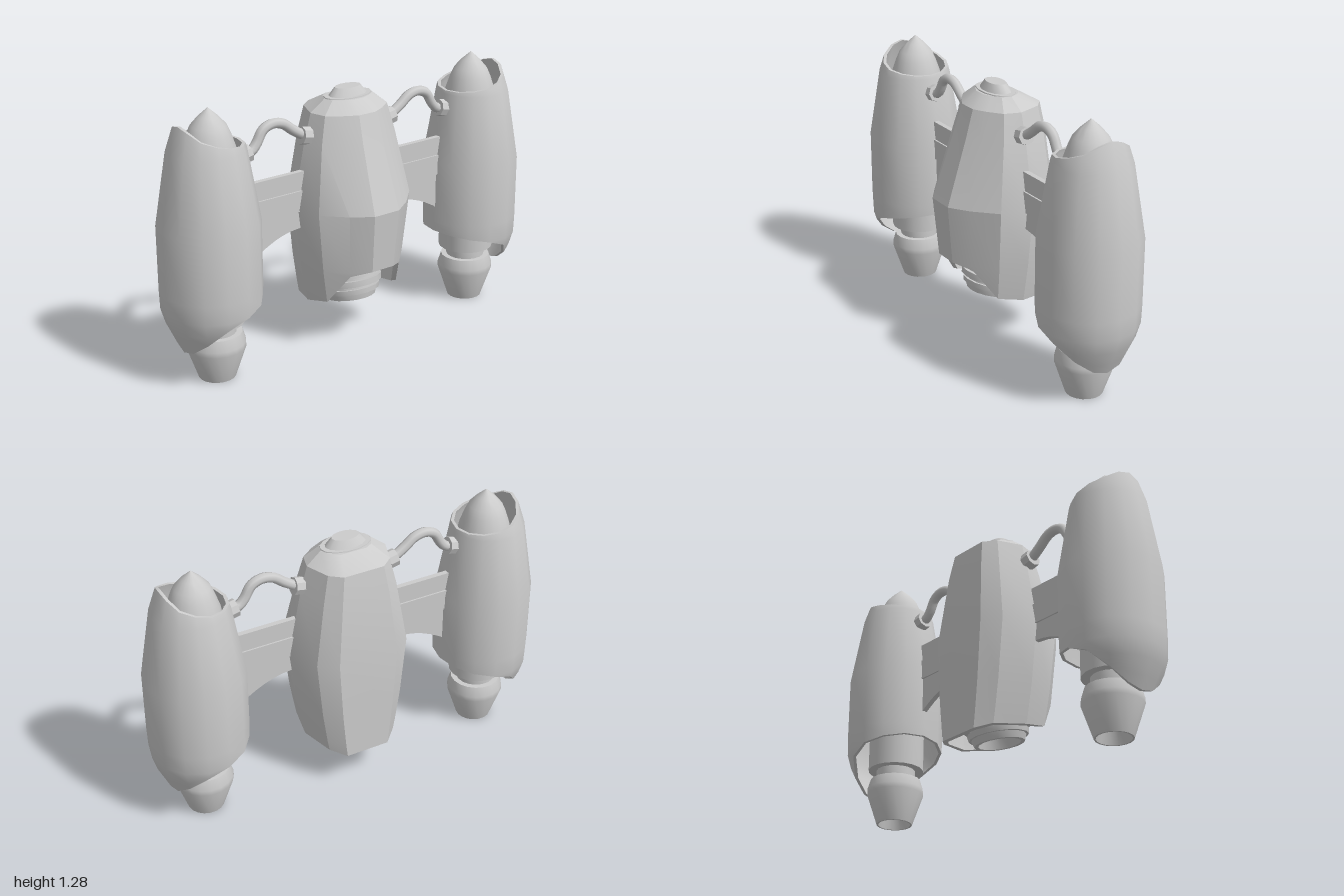
import * as THREE from 'three';
import { toCreasedNormals } from 'three/addons/utils/BufferGeometryUtils.js';

const AXIS_X = -0.035;
const material = new THREE.MeshStandardMaterial({ color: 0xcccccc, side: THREE.DoubleSide });

function add(parent, name, geometry, crease = 0.6) {
  const mesh = new THREE.Mesh(crease ? toCreasedNormals(geometry, crease) : geometry, material);
  mesh.name = name;
  parent.add(mesh);
  return mesh;
}

// Straight-line interpolation in rows [key, value, value...] sorted by key
function lookup(table, key, column = 1) {
  if (key <= table[0][0]) return table[0][column];
  for (let i = 1; i < table.length; i++) {
    const a = table[i - 1], b = table[i];
    if (key <= b[0]) return a[column] + (b[column] - a[column]) * (key - a[0]) / (b[0] - a[0]);
  }
  return table[table.length - 1][column];
}

// Skin over rings of points, skipping collapsed triangles
function loft(rows) {
  const out = [], n = rows[0].length;
  const tri = (a, b, c) => {
    const area = b.clone().sub(a).cross(c.clone().sub(a)).length();
    if (area > 1e-7) out.push(...a.toArray(), ...b.toArray(), ...c.toArray());
  };
  for (let i = 0; i < rows.length - 1; i++) {
    for (let j = 0; j < n; j++) {
      const k = (j + 1) % n;
      tri(rows[i][j], rows[i][k], rows[i + 1][j]);
      tri(rows[i][k], rows[i + 1][k], rows[i + 1][j]);
    }
  }
  const geometry = new THREE.BufferGeometry();
  geometry.setAttribute('position', new THREE.Float32BufferAttribute(out, 3));
  geometry.computeVertexNormals();
  return geometry;
}

const lathe = (profile, sides) =>
  new THREE.LatheGeometry(profile.map(([r, y]) => new THREE.Vector2(r, y)), sides);

// Fairing around a side engine: cut slanted above and below
function podShell() {
  const radius = [[0.165, 0.155], [0.22, 0.18], [0.29, 0.212], [0.36, 0.232], [0.45, 0.235],
    [0.76, 0.235], [1.1, 0.178], [1.225, 0.137]];
  const topCut = [[-1, 1.115], [0, 1.14], [0.7, 1.18], [1, 1.225]];
  const bottomCut = [[-1, 0.4], [0, 0.35], [0.45, 0.29], [0.7, 0.22], [1, 0.165]];
  const ring = (level, inset) => Array.from({ length: 14 }, (_, j) => {
    const a = j / 14 * Math.PI * 2, c = Math.cos(a);
    const y = THREE.MathUtils.clamp(level, lookup(bottomCut, c), lookup(topCut, c));
    const r = lookup(radius, y) - inset;
    return new THREE.Vector3(r * Math.sin(a), y, r * c);
  });
  const levels = radius.map(row => row[0]);
  const outer = levels.map(y => ring(y, 0));
  const inner = levels.map(y => ring(y, 0.015)).reverse();
  return loft([...outer, ...inner, outer[0]]);
}

// Central body: flat back, faceted front, arched opening low on the +x side
function bodyShell() {
  const half = [[-0.26, 0.15], [-0.2, 0.235], [-0.05, 0.3], [0.1, 0.265], [0.2, 0.165], [0.265, 0.07]];
  const cut = [0.185, 0.205, 0.225, 0.255, 0.4, 0.425];
  const section = [...half, ...half.map(([x, z]) => [x, -z]).reverse()];
  const cuts = [...cut, ...[...cut].reverse()];
  // height, front scale, back scale, width scale
  const sizes = [[0.185, 0.8, 1, 0.72], [0.26, 0.84, 1, 0.78], [0.42, 0.91, 1, 0.88], [0.71, 1, 1, 1],
    [1.02, 0.64, 0.87, 0.79], [1.15, 0.5, 0.78, 0.67], [1.205, 0.28, 0.35, 0.43], [1.21, 0, 0, 0]];
  const ring = (level, shrink) => section.map(([x, z], j) => {
    const y = Math.max(level, cuts[j]), dx = x - AXIS_X;
    return new THREE.Vector3(
      AXIS_X + dx * lookup(sizes, y, dx > 0 ? 2 - 1 : 2) * shrink, y, z * lookup(sizes, y, 3) * shrink);
  });
  const levels = sizes.map(row => row[0]);
  const inner = levels.slice(0, 5).map(y => ring(y, 0.9)).reverse();
  return loft([...inner, ...levels.map(y => ring(y, 1))]);
}

// One side: engine pod, wing and hose, built toward +z
function makeSide(name) {
  const side = new THREE.Group();
  side.name = name;
  side.position.x = AXIS_X;

  add(side, 'podShell', podShell(), 0.6).position.z = 0.765;

  // Engine with pointed nose and hollow nozzle
  const engine = lathe([[0, 0.08], [0.06, 0.08], [0.078, 0], [0.086, 0], [0.137, 0.15], [0.137, 0.175],
    [0.122, 0.225], [0.095, 0.225], [0.095, 0.275], [0.135, 0.275], [0.135, 1.0], [0.12, 1.1],
    [0.098, 1.165], [0.08, 1.205], [0.045, 1.245], [0, 1.285]], 18);
  add(side, 'engine', engine, 0.65).position.z = 0.75;

  // Wing joining body and pod, with an arched lower edge
  const outline = new THREE.Shape();
  outline.moveTo(-0.22, 0.62);
  outline.lineTo(-0.3, 0.615);
  outline.quadraticCurveTo(-0.42, 0.61, -0.56, 0.51);
  outline.lineTo(-0.56, 0.89);
  outline.lineTo(-0.22, 0.89);
  const wing = new THREE.ExtrudeGeometry(outline, { depth: 0.026, bevelEnabled: false, curveSegments: 6 });
  wing.translate(0, 0, -0.013).rotateY(Math.PI / 2);
  add(side, 'wing', wing);
  const rib = add(side, 'wingRib', new THREE.BoxGeometry(0.042, 0.1, 0.32), 0);
  rib.position.set(0, 0.75, 0.4);

  // Hose and its end fittings
  const path = new THREE.CatmullRomCurve3([[1.055, 0.22], [1.065, 0.26], [1.095, 0.31], [1.135, 0.365],
    [1.145, 0.42], [1.125, 0.47], [1.07, 0.505], [1.04, 0.535], [1.03, 0.6]]
    .map(([y, z]) => new THREE.Vector3(0, y, z)));
  add(side, 'hose', new THREE.TubeGeometry(path, 28, 0.024, 8), 0.9);
  for (const [y, z, tilt] of [[1.055, 0.243, -0.2], [1.033, 0.568, 0.2]]) {
    const fitting = add(side, 'hoseFitting', new THREE.CylinderGeometry(0.042, 0.042, 0.045, 8));
    fitting.position.set(0, y, z);
    fitting.rotation.x = Math.PI / 2 + tilt;
  }
  return side;
}

export function createModel() {
  const model = new THREE.Group();
  model.name = 'thrusterPack';

  add(model, 'body', bodyShell(), 0.35);

  // Oval cap on top of the body
  const cap = add(model, 'topCap', lathe([[0.13, 1.195], [0.125, 1.21], [0.1, 1.21], [0.068, 1.247], [0, 1.247]], 14));
  cap.position.x = AXIS_X;
  cap.scale.x = 0.6;

  // Ringed thruster inside the body, leaning toward the opening
  const thruster = add(model, 'mainThruster', lathe([[0, -0.18], [0.085, -0.18], [0.1, -0.25], [0.118, -0.25],
    [0.128, -0.22], [0.14, -0.22], [0.145, -0.195], [0.132, -0.195], [0.132, -0.18], [0.156, -0.18],
    [0.16, -0.15], [0.14, -0.15], [0.14, -0.135], [0.164, -0.135], [0.164, -0.11], [0.13, -0.11],
    [0.13, 0.2], [0, 0.2]], 16));
  thruster.position.set(-0.06, 0.45, 0);
  thruster.rotation.z = 0.2;

  // The far side is the same assembly turned half round
  const left = makeSide('frontPodAssembly');
  const right = makeSide('rearPodAssembly');
  right.rotation.y = Math.PI;
  model.add(left, right);
  return model;
}
